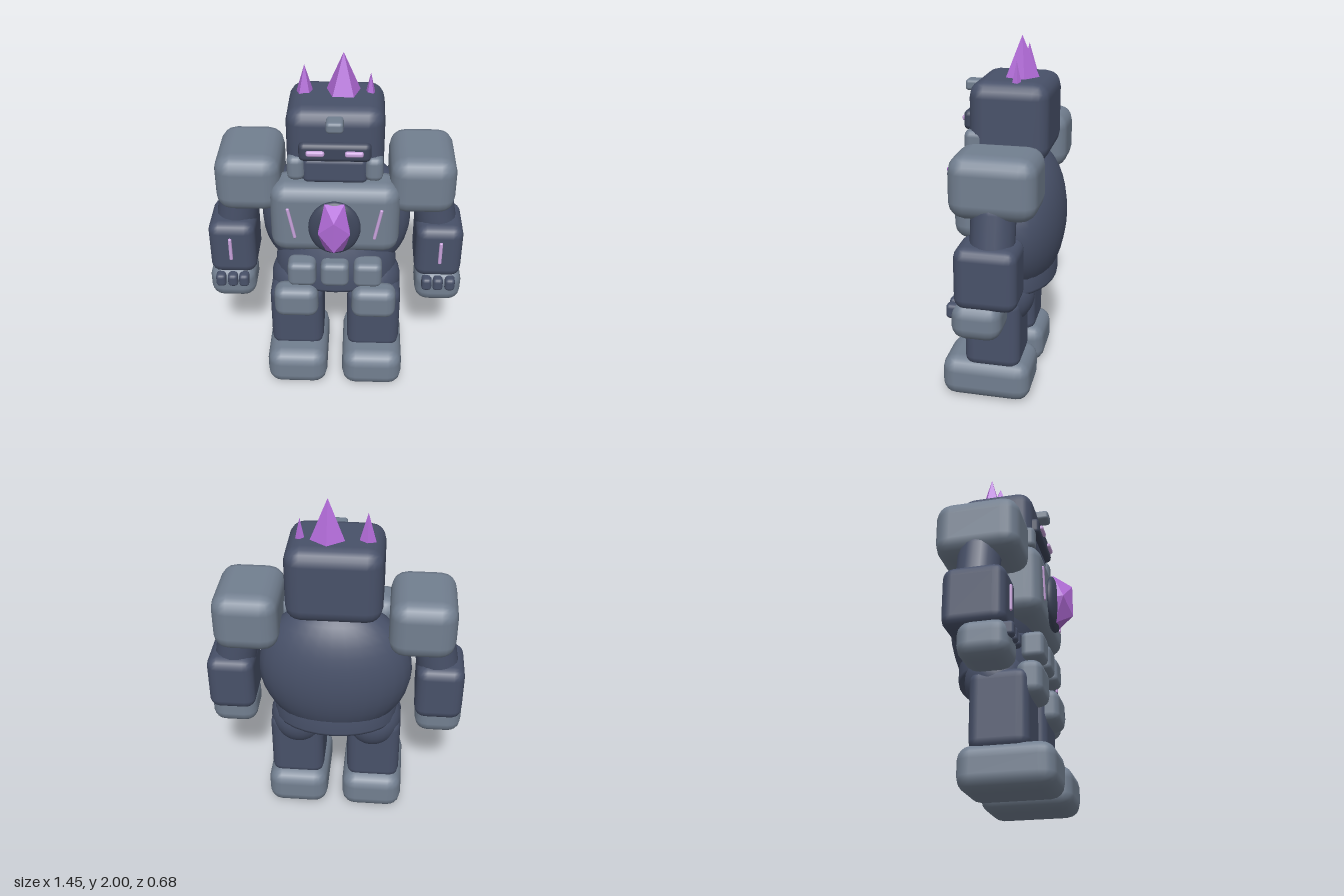
import * as THREE from 'three';
import { RoundedBoxGeometry } from 'three/addons/geometries/RoundedBoxGeometry.js';

const material = (name, color, extra = {}) => {
  const m = new THREE.MeshStandardMaterial({ color, ...extra });
  m.name = name;
  return m;
};

export function createModel() {
  const slate = material('dark slate', 0x485169);
  const stone = material('grey stone', 0x727f90);
  const trim = material('deep slate trim', 0x3e465b);
  const crystal = material('purple crystal', 0xb06ad6, { flatShading: true });
  const glow = material('pale violet glow', 0xc8a2dc);

  const model = new THREE.Group();
  model.name = 'stoneGolem';

  const add = (name, geometry, mat, x, y, z, parent = model) => {
    const mesh = new THREE.Mesh(geometry, mat);
    mesh.name = name;
    mesh.position.set(x, y, z);
    parent.add(mesh);
    return mesh;
  };

  // Rounded block given by its ranges on each axis
  const block = (name, mat, [x0, x1], [y0, y1], [z0, z1], r, parent) =>
    add(name, new RoundedBoxGeometry(x1 - x0, y1 - y0, z1 - z0, 2, r), mat,
      (x0 + x1) / 2, (y0 + y1) / 2, (z0 + z1) / 2, parent);

  const ellipsoid = (name, mat, x, y, z, rx, ry, rz, parent) =>
    add(name, new THREE.SphereGeometry(1, 28, 20).scale(rx, ry, rz), mat, x, y, z, parent);

  // Torso and flat-bottomed belly
  ellipsoid('torso', slate, 0, 1.0, -0.1, 0.425, 0.42, 0.236);
  const profile = [[0, 0.56], [0.3, 0.567], [0.6, 0.6], [0.98, 0.642], [1, 0.66], [0.99, 0.74], [0.94, 0.84], [0.75, 0.95]]
    .map(([r, y]) => new THREE.Vector2(r, y));
  add('belly', new THREE.LatheGeometry(profile, 28).scale(0.355, 1, 0.235), slate, 0, 0, -0.055);

  // Chest plate with its gem
  block('chestPlate', stone, [-0.35, 0.35], [0.945, 1.37], [-0.02, 0.225], 0.085);
  ellipsoid('gemSocket', trim, 0, 1.14, 0.235, 0.14, 0.165, 0.045);
  add('chestGem', new THREE.IcosahedronGeometry(1, 0).scale(0.1, 0.175, 0.118), crystal, 0, 1.147, 0.245);

  // Belt plates
  for (const x of [-0.185, 0, 0.185])
    block('beltPlate', stone, [x - 0.08, x + 0.08], [0.715, 0.87], [0.1, 0.225], 0.035);

  // Head and face
  block('head', slate, [-0.255, 0.255], [1.36, 1.785], [-0.265, 0.16], 0.085);
  block('jaw', slate, [-0.17, 0.17], [1.37, 1.52], [0.0, 0.165], 0.03);
  block('visor', trim, [-0.187, 0.187], [1.515, 1.62], [0.12, 0.195], 0.028);
  block('browStud', stone, [-0.045, 0.045], [1.695, 1.755], [0.1, 0.22], 0.018);

  // Crown crystals: x, base height, tip height, radius
  for (const [x, y0, y1, r] of [[0.037, 1.77, 2.0, 0.1], [-0.165, 1.74, 1.93, 0.057], [0.178, 1.73, 1.89, 0.036]]) {
    const cone = new THREE.ConeGeometry(r, y1 - y0, 5).rotateY(Math.PI);
    add('crownCrystal', cone, crystal, x, (y0 + y1) / 2, -0.09);
  }

  // Paired parts, built for +x and mirrored by position
  for (const s of [1, -1]) {
    const span = (a, b) => (s > 0 ? [a, b] : [-b, -a]);
    const side = new THREE.Group();
    side.name = s > 0 ? 'leftSide' : 'rightSide';
    model.add(side);

    // Face and chest details
    block('eye', glow, span(0.052, 0.148), [1.556, 1.586], [0.18, 0.211], 0.012, side);
    block('cheekGuard', stone, span(0.158, 0.252), [1.39, 1.53], [0.06, 0.18], 0.035, side);
    const slit = block('chestSlit', glow, span(0.223, 0.241), [1.06, 1.255], [0.205, 0.235], 0.008, side);
    slit.rotation.z = -s * 0.19;

    // Arm
    block('shoulder', stone, span(0.29, 0.645), [1.17, 1.5], [-0.28, 0.175], 0.09, side);
    const upperArm = add('upperArm', new THREE.CapsuleGeometry(0.115, 0.2, 6, 18), slate,
      s * 0.55, 1.1, -0.05, side);
    upperArm.rotation.z = s * 0.18;
    block('forearm', slate, span(0.45, 0.715), [0.72, 1.055], [-0.2, 0.128], 0.06, side);
    block('forearmSlit', glow, span(0.579, 0.599), [0.83, 0.975], [0.115, 0.14], 0.008, side);
    block('fist', stone, span(0.46, 0.725), [0.55, 0.755], [-0.12, 0.145], 0.075, side);
    for (const x of [0.523, 0.587, 0.655])
      block('knuckle', slate, span(x - 0.029, x + 0.029), [0.658, 0.737], [0.1, 0.168], 0.02, side);

    // Leg
    ellipsoid('hip', slate, s * 0.215, 0.61, -0.04, 0.165, 0.18, 0.165, side);
    block('leg', slate, span(0.07, 0.38), [0.2, 0.63], [-0.15, 0.165], 0.06, side);
    block('kneePad', stone, span(0.095, 0.35), [0.48, 0.68], [0.09, 0.23], 0.055, side);
    block('foot', stone, span(0.045, 0.4), [0, 0.24], [-0.207, 0.297], 0.08, side);
  }

  return model;
}
